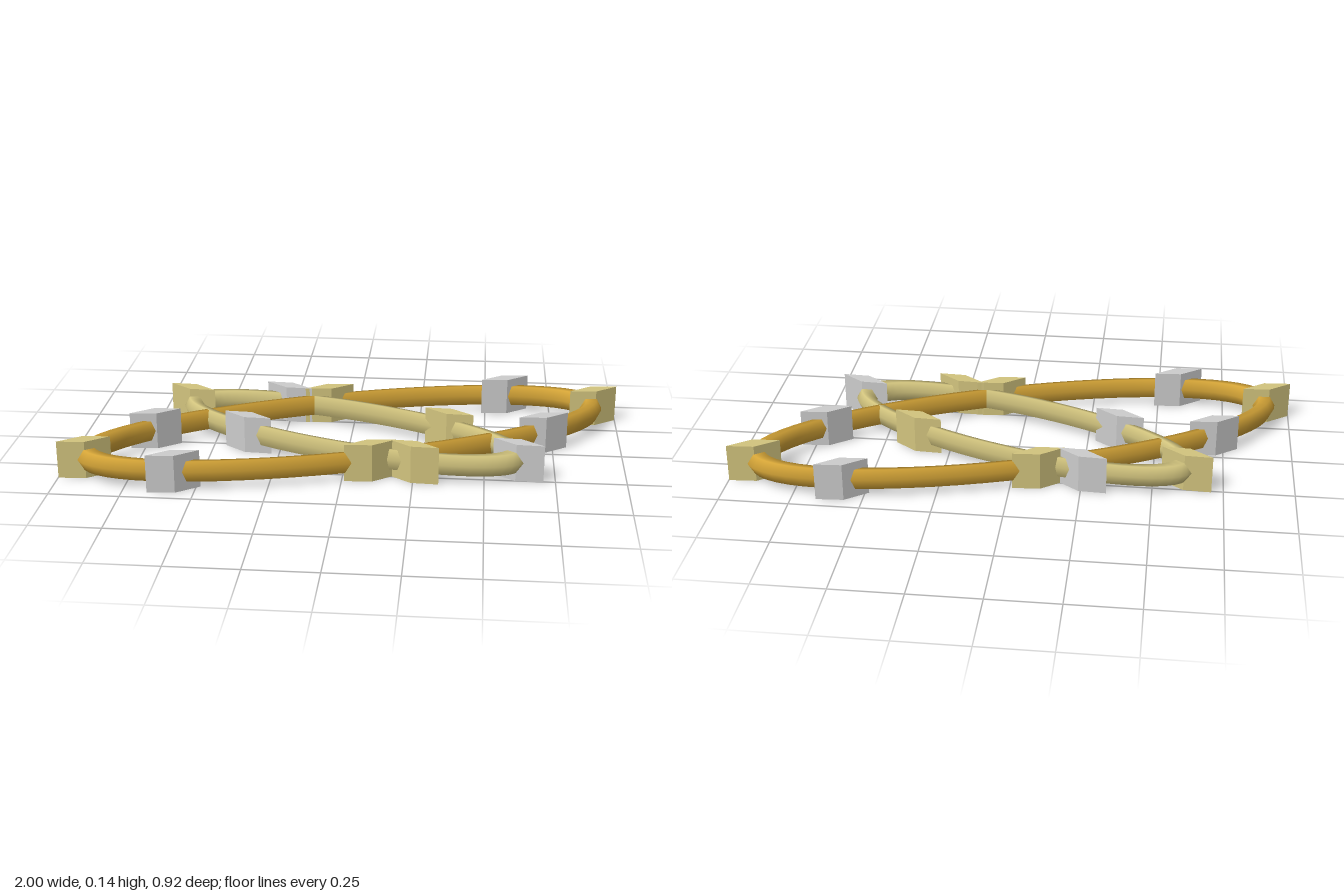
import * as THREE from 'three';

const MID = 0.069; // ring height above ground, also half a block

const mat = (name, color) => {
  const m = new THREE.MeshStandardMaterial({ color });
  m.name = name;
  return m;
};

// Round ring with evenly spaced blocks, skewed into an oval by the plan axes u and w
function makeRing({ name, u, w, radius, count, ringMaterial, blockMaterials }) {
  const skew = new THREE.Matrix4().set(
    u[0], 0, w[0], 0,
    0, 1, 0, MID,
    u[1], 0, w[1], 0,
    0, 0, 0, 1);
  const group = new THREE.Group();
  group.name = name;

  // Six-sided tube
  const tube = new THREE.TorusGeometry(radius - 0.014, 0.044, 6, 64)
    .rotateX(Math.PI / 2)
    .applyMatrix4(skew);
  const band = new THREE.Mesh(tube, ringMaterial);
  band.name = name + 'Band';
  group.add(band);

  // Blocks in alternating colours
  for (let i = 0; i < count; i++) {
    const a = (i / count) * Math.PI * 2;
    const geo = new THREE.BoxGeometry(2 * MID, 2 * MID, 2 * MID)
      .rotateY(Math.PI / 4)
      .translate(radius * Math.cos(a), 0, radius * Math.sin(a))
      .applyMatrix4(skew);
    const block = new THREE.Mesh(geo, blockMaterials[i % 2]);
    block.name = name + 'Block' + (i + 1);
    group.add(block);
  }
  return group;
}

export function createModel() {
  const gold = mat('gold', 0xd4a437);
  const paleGold = mat('pale gold', 0xd2c47e);
  const silver = mat('silver', 0xcccccc);
  const blockMaterials = [paleGold, silver];

  const model = new THREE.Group();
  model.name = 'crossedRings';
  model.add(
    makeRing({
      name: 'largeRing', u: [0.91, -0.33], w: [0.098, 0.272],
      radius: 1, count: 8, ringMaterial: gold, blockMaterials,
    }),
    makeRing({
      name: 'smallRing', u: [-0.91, -0.33], w: [0.098, -0.272],
      radius: 0.68, count: 6, ringMaterial: paleGold, blockMaterials,
    }),
  );
  return model;
}
